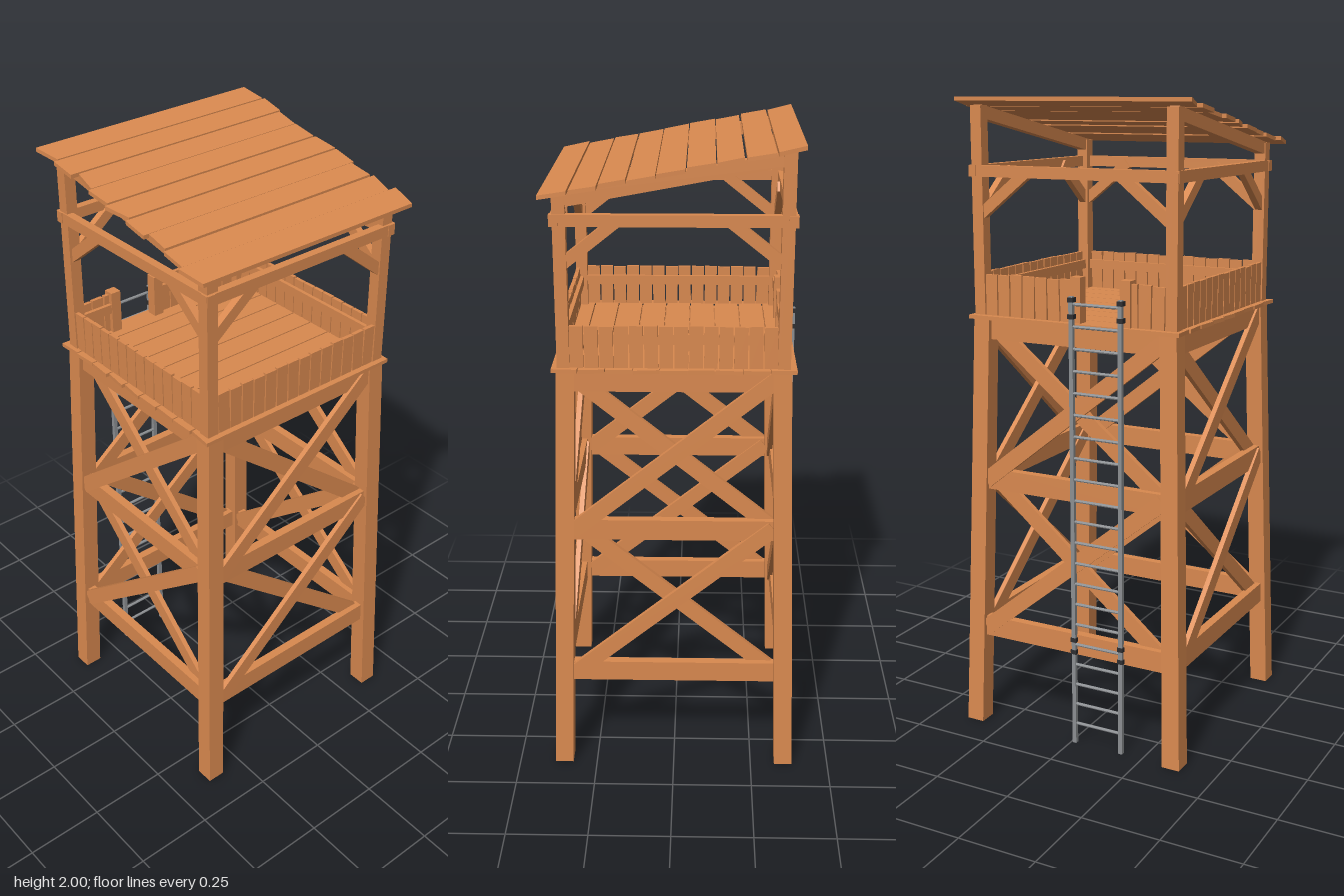
import * as THREE from 'three';

const wood = new THREE.MeshStandardMaterial({ color: 0xd9894f, flatShading: true });
const metal = new THREE.MeshStandardMaterial({ color: 0x8c8f92, flatShading: true });
const dark = new THREE.MeshStandardMaterial({ color: 0x2e2e30, flatShading: true });

const V = (x, y, z) => new THREE.Vector3(x, y, z);

// small seeded generator, returns -1..1
let seed = 7;
const jitter = () => {
  seed = (seed * 16807) % 2147483647;
  return (seed / 2147483647) * 2 - 1;
};

function add(parent, name, geometry, material = wood) {
  const mesh = new THREE.Mesh(geometry, material);
  mesh.name = name;
  parent.add(mesh);
  return mesh;
}

function box(parent, name, w, h, d, x, y, z, material = wood) {
  const mesh = add(parent, name, new THREE.BoxGeometry(w, h, d), material);
  mesh.position.set(x, y, z);
  return mesh;
}

// straight timber from a to b, with its thickness t along the facing direction
function beam(parent, name, a, b, w, t, facing = V(0, 0, 1)) {
  const along = b.clone().sub(a);
  const length = along.length();
  along.normalize();
  const side = along.clone().cross(facing).normalize();
  const out = side.clone().cross(along);
  const g = new THREE.BoxGeometry(w, length, t);
  g.applyMatrix4(new THREE.Matrix4().makeBasis(side, along, out));
  const mid = a.clone().add(b).multiplyScalar(0.5);
  g.translate(mid.x, mid.y, mid.z);
  return add(parent, name, g);
}

// board running along z: x from x0 to x1, skewed ends, height given by rule
function board(parent, name, [x0, x1, backL, backR, frontL, frontR], thick, height) {
  const g = new THREE.BoxGeometry(1, 1, 1);
  const p = g.attributes.position;
  for (let i = 0; i < p.count; i++) {
    const right = p.getX(i) > 0, front = p.getZ(i) > 0;
    const x = right ? x1 : x0;
    const z = front ? (right ? frontR : frontL) : (right ? backR : backL);
    p.setXYZ(i, x, height(x) + (p.getY(i) - 0.5) * thick, z);
  }
  g.computeVertexNormals();
  add(parent, name, g);
}

const DECK = 1.335;
const lean = y => 0.356 - 0.038 * y / DECK; // leg centre offset at height y
const roofY = x => 1.993 - 0.185 * (x + 0.365);

// leaning, slightly tapered leg
function leg(parent, sx, sz) {
  const g = new THREE.BoxGeometry(1, 1, 1);
  const p = g.attributes.position;
  for (let i = 0; i < p.count; i++) {
    const y = p.getY(i) > 0 ? DECK : 0;
    const size = y ? 0.054 : 0.058;
    p.setXYZ(i, sx * lean(y) + p.getX(i) * size, y, sz * lean(y) + p.getZ(i) * size);
  }
  g.computeVertexNormals();
  add(parent, 'leg', g);
}

// one face of the tower, built facing +z
function buildSide(ladderSide) {
  const side = new THREE.Group();
  side.name = ladderSide ? 'ladderSide' : 'side';
  const P = (x, y, off = 0) => V(x, y, lean(y) + off);

  // horizontal beams and cross braces
  for (const y of [0.332, 0.825, 1.304]) {
    beam(side, 'crossBeam', P(-lean(y), y), P(lean(y), y), 0.066, 0.028);
  }
  for (const [y0, y1] of [[0.33, 0.835], [0.82, 1.315]]) {
    beam(side, 'outerBrace', P(-0.312, y0, 0.013), P(0.305, y1, 0.013), 0.05, 0.016);
    beam(side, 'innerBrace', P(0.312, y0, -0.013), P(-0.305, y1, -0.013), 0.05, 0.016);
  }

  // upper rail and knee braces
  box(side, 'upperRail', 0.7, 0.034, 0.025, 0, 1.782, 0.335);
  for (const s of [-1, 1]) {
    beam(side, 'kneeBrace', V(s * 0.315, 1.655, 0.325), V(s * 0.16, 1.778, 0.325), 0.034, 0.022);
  }

  // guard boards, with an opening where the ladder arrives
  const count = 14, pitch = 0.61 / count;
  for (let i = 0; i < count; i++) {
    const x = -0.305 + (i + 0.5) * pitch;
    if (ladderSide && x > 0.0 && x < 0.19) continue;
    const h = 0.128 + jitter() * 0.002;
    const b = box(side, 'guardBoard', pitch - 0.004, h, 0.012, x, 1.345 + h / 2, 0.333);
    b.rotation.z = jitter() * 0.025;
  }
  const spans = ladderSide ? [[-0.305, 0.005], [0.185, 0.305]] : [[-0.305, 0.305]];
  for (const [a, b] of spans) {
    box(side, 'guardRail', b - a, 0.03, 0.012, (a + b) / 2, 1.43, 0.321);
  }
  if (ladderSide) {
    for (const x of [0.014, 0.18]) box(side, 'gatePost', 0.034, 0.14, 0.034, x, 1.414, 0.33);
  }
  return side;
}

// upright ladder on the -x side
function buildLadder() {
  const ladder = new THREE.Group();
  ladder.name = 'ladder';
  const x = -0.366, z0 = 0.012, z1 = 0.176;
  for (const z of [z0, z1]) {
    box(ladder, 'ladderRail', 0.013, 1.43, 0.013, x, 0.715, z, metal);
    for (const y of [0.31, 0.35, 1.37, 1.42]) {
      box(ladder, 'bracket', 0.02, 0.014, 0.019, x + 0.002, y, z, dark);
      box(ladder, 'bracketArm', 0.03, 0.008, 0.01, x + 0.016, y, z, dark);
    }
  }
  for (let i = 1; i <= 21; i++) {
    const g = new THREE.CylinderGeometry(0.005, 0.005, z1 - z0, 8);
    g.rotateX(Math.PI / 2);
    add(ladder, 'rung', g, metal).position.set(x, i * 0.067, (z0 + z1) / 2);
  }
  return ladder;
}

export function createModel() {
  const tower = new THREE.Group();
  tower.name = 'watchtower';

  // legs and roof posts at the four corners
  for (const sx of [-1, 1]) {
    for (const sz of [-1, 1]) {
      leg(tower, sx, sz);
      const top = roofY(sx * 0.322) - 0.012;
      box(tower, 'roofPost', 0.037, top - DECK, 0.037, sx * 0.322, (top + DECK) / 2, sz * 0.325);
    }
  }

  // four sides; the last one faces -x
  for (let k = 0; k < 4; k++) {
    const side = buildSide(k === 3);
    side.rotation.y = k * Math.PI / 2;
    tower.add(side);
  }

  // platform joists and deck boards
  for (const z of [-0.165, 0, 0.165]) box(tower, 'joist', 0.64, 0.05, 0.035, 0, 1.31, z);
  for (let i = 0; i < 9; i++) {
    const x = -0.36 + i * 0.0802;
    const e = () => 0.358 + jitter() * 0.005;
    board(tower, 'deckBoard', [x, x + 0.076, -e(), -e(), e(), e()], 0.012, () => 1.347);
  }

  // rafters
  for (const z of [-0.325, 0.325]) {
    beam(tower, 'rafter', V(-0.33, roofY(-0.33) - 0.03, z), V(0.33, roofY(0.33) - 0.03, z), 0.038, 0.03);
  }

  // roof boards: x range, then back-left, back-right, front-left, front-right ends
  const roof = [
    [-0.363, -0.286, -0.383, -0.392, 0.393, 0.373],
    [-0.281, -0.201, -0.398, -0.391, 0.388, 0.387],
    [-0.194, -0.120, -0.383, -0.380, 0.365, 0.376],
    [-0.117, -0.037, -0.381, -0.380, 0.388, 0.382],
    [-0.034, 0.046, -0.387, -0.392, 0.393, 0.371],
    [0.049, 0.127, -0.395, -0.391, 0.385, 0.385],
    [0.131, 0.206, -0.378, -0.381, 0.370, 0.375],
    [0.211, 0.289, -0.392, -0.375, 0.382, 0.383],
    [0.293, 0.376, -0.400, -0.383, 0.399, 0.384],
  ];
  roof.forEach((ends, i) => {
    const tilt = jitter() * 0.03;
    const mid = (ends[0] + ends[1]) / 2;
    const lift = i === 0 ? 0.005 : 0.003 + jitter() * 0.002;
    board(tower, 'roofBoard', ends, 0.012, x => roofY(x) + lift + (x - mid) * tilt);
  });

  tower.add(buildLadder());
  return tower;
}
